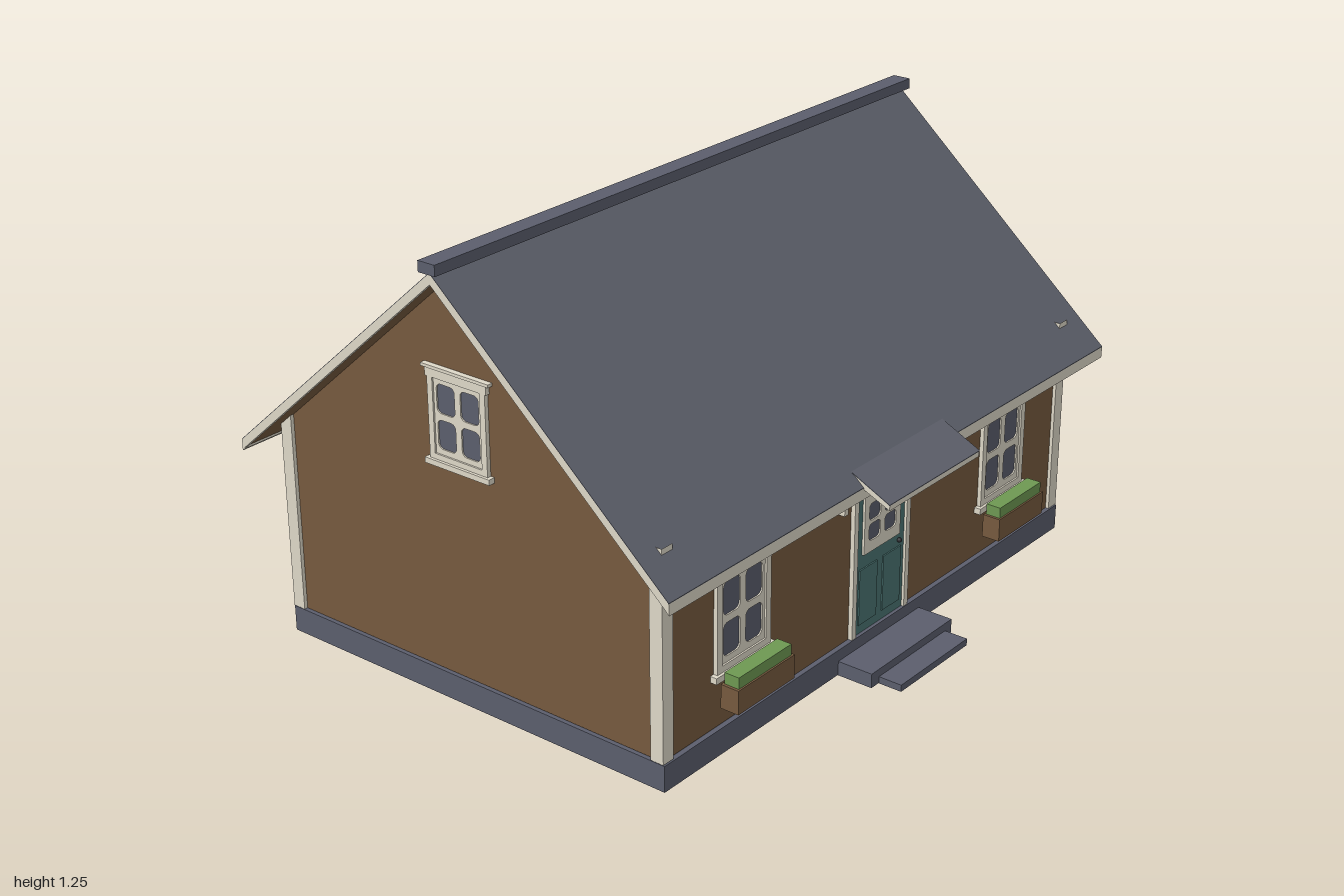
import * as THREE from 'three';

const mat = (name, color) => Object.assign(new THREE.MeshStandardMaterial({ color }), { name });

export function createModel() {
  const slate = mat('slate', 0x5b5e6d);
  slate.side = THREE.DoubleSide;
  const roofing = mat('roofing', 0x5e616c);
  const brown = mat('brownBoards', 0x765a3f);
  const cream = mat('creamTrim', 0xded8c8);
  const teal = mat('tealDoor', 0x4a7371);
  const green = mat('greenPlants', 0x6e9852);
  const dark = mat('darkMetal', 0x2c2c30);

  const house = new THREE.Group();
  house.name = 'house';

  const add = (parent, name, geometry, material) => {
    const mesh = new THREE.Mesh(geometry, material);
    mesh.name = name;
    parent.add(mesh);
    return mesh;
  };
  // Box given by its limits on each axis
  const box = (parent, name, material, x0, x1, y0, y1, z0, z1) => {
    const g = new THREE.BoxGeometry(x1 - x0, y1 - y0, z1 - z0);
    g.translate((x0 + x1) / 2, (y0 + y1) / 2, (z0 + z1) / 2);
    return add(parent, name, g, material);
  };
  // Leave one face of a box open: 2 is the top, 3 the bottom
  const openFace = (mesh, face) => {
    const g = mesh.geometry;
    const kept = Array.from(g.index.array).filter((v, i) => Math.floor(i / 6) !== face);
    g.clearGroups();
    g.setIndex(kept);
  };
  // Side profile of [z, y] points, run along x
  const prism = (parent, name, material, points, x0, x1) => {
    const shape = new THREE.Shape(points.map(([z, y]) => new THREE.Vector2(-z, y)));
    const g = new THREE.ExtrudeGeometry(shape, { depth: x1 - x0, bevelEnabled: false });
    g.rotateY(Math.PI / 2).translate(x0, 0, 0);
    return add(parent, name, g, material);
  };
  const roundedHole = (cx, cy, w, h, r) => {
    const p = new THREE.Path();
    const x = w / 2 - r, y = h / 2 - r;
    p.absarc(cx + x, cy + y, r, 0, Math.PI / 2);
    p.absarc(cx - x, cy + y, r, Math.PI / 2, Math.PI);
    p.absarc(cx - x, cy - y, r, Math.PI, Math.PI * 1.5);
    p.absarc(cx + x, cy - y, r, Math.PI * 1.5, Math.PI * 2);
    p.closePath();
    return p;
  };
  // Four-light sash over a glass plate, its back on z = 0
  const sash = (parent, w, h, paneW, paneH, gapX, gapY) => {
    box(parent, 'glass', slate, -w / 2 + 0.005, w / 2 - 0.005, -h / 2 + 0.005, h / 2 - 0.005, 0, 0.003);
    const s = new THREE.Shape([[-1, -1], [1, -1], [1, 1], [-1, 1]]
      .map(([x, y]) => new THREE.Vector2(x * w / 2, y * h / 2)));
    for (const i of [-1, 1]) for (const j of [-1, 1]) {
      s.holes.push(roundedHole(i * (paneW + gapX) / 2, j * (paneH + gapY) / 2, paneW, paneH, paneW * 0.25));
    }
    const g = new THREE.ExtrudeGeometry(s, { depth: 0.007, bevelEnabled: false, curveSegments: 5 });
    add(parent, 'sash', g, cream);
  };

  // Hollow foundation, open below, and the walls
  const ridgeZ = -0.052, base = 0.077;
  const zFront = 0.603, zBack = -0.707;
  openFace(box(house, 'foundation', slate, -0.918, 0.918, 0, 0.075, zBack, zFront), 3);
  const wallF = 0.59, wallB = -0.699, wallX = 0.908;
  prism(house, 'walls', brown,
    [[wallF, base], [wallF, 0.635], [ridgeZ, 1.198], [wallB, 0.632], [wallB, base]], -wallX, wallX);

  // Corner posts, whose open tips pass through the roof
  for (const sx of [-1, 1]) for (const z of [0.58, -0.687]) {
    const x = sx * 0.899;
    openFace(box(house, 'cornerPost', cream, x - 0.02, x + 0.02, base, 0.668, z - 0.02, z + 0.02), 2);
  }

  // Roof: thin grey skin, brown soffit and cream edge boards on both slopes
  const slope = 0.88, reach = 0.732, top = 1.226;
  const band = (sz, d0, d1, a, b) => [[d0, a], [d1, a], [d1, b], [d0, b]]
    .map(([d, off]) => [ridgeZ + sz * d, top - slope * d - off]);
  for (const sz of [-1, 1]) {
    prism(house, 'roofSlope', roofing, band(sz, 0, reach, 0, 0.002), -0.991, 0.991);
    prism(house, 'soffit', brown, band(sz, 0, reach - 0.008, 0.002, 0.028), -0.979, 0.979);
    prism(house, 'eaveBoard', cream, band(sz, reach - 0.008, reach, 0.002, 0.034), -0.99, 0.99);
    for (const sx of [-1, 1]) {
      const x = sx * 0.985;
      prism(house, 'bargeBoard', cream, band(sz, 0, reach, 0.002, 0.031), x - 0.006, x + 0.006);
    }
  }
  box(house, 'ridgeCap', slate, -1, 1, 1.224, 1.254, ridgeZ - 0.028, ridgeZ + 0.028);

  // Windows
  const addWindow = (x, y, z, turn, sx = 1, sy = 1) => {
    const w = new THREE.Group();
    w.name = 'window';
    sash(w, 0.186, 0.25, 0.068, 0.094, 0.022, 0.021);
    for (const s of [-1, 1]) {
      box(w, 'sideCasing', cream, s * 0.099 - 0.01, s * 0.099 + 0.01, -0.14, 0.14, 0, 0.012);
    }
    box(w, 'topCasing', cream, -0.115, 0.115, 0.122, 0.15, 0, 0.013);
    box(w, 'bottomCasing', cream, -0.109, 0.109, -0.14, -0.122, 0, 0.012);
    box(w, 'cornice', cream, -0.127, 0.127, 0.15, 0.16, 0, 0.016);
    box(w, 'sill', cream, -0.122, 0.122, -0.158, -0.14, 0, 0.02);
    w.position.set(x, y, z);
    w.rotation.y = turn;
    w.scale.set(sx, sy, 1);
    house.add(w);
  };
  for (const x of [-0.6, 0.6]) addWindow(x, 0.373, wallF, 0);
  for (const x of [-0.6, 0, 0.6]) addWindow(x, 0.373, wallB, Math.PI);
  for (const s of [-1, 1]) addWindow(s * wallX, 0.807, ridgeZ, s * Math.PI / 2, 0.9, 0.85);

  // Flower boxes under the front windows
  for (const x of [-0.6, 0.597]) {
    box(house, 'flowerBox', brown, x - 0.116, x + 0.116, 0.15, 0.218, 0.618, 0.673);
    box(house, 'plants', green, x - 0.108, x + 0.108, 0.218, 0.25, 0.623, 0.668);
  }

  // Door with casing, small window, raised panels and knob
  const door = new THREE.Group();
  door.name = 'door';
  door.position.set(0, 0, wallF);
  house.add(door);
  box(door, 'doorLeaf', teal, -0.115, 0.115, base, 0.512, 0, 0.005);
  for (const s of [-1, 1]) {
    box(door, 'doorCasing', cream, s * 0.122 - 0.009, s * 0.122 + 0.009, base, 0.535, 0, 0.013);
    box(door, 'doorPanel', teal, s * 0.055 - 0.041, s * 0.055 + 0.041, 0.105, 0.27, 0.005, 0.009);
  }
  box(door, 'doorLintel', cream, -0.131, 0.131, 0.512, 0.537, 0, 0.013);
  const doorLight = new THREE.Group();
  doorLight.name = 'doorWindow';
  doorLight.position.set(0, 0.4, 0.005);
  sash(doorLight, 0.168, 0.176, 0.053, 0.05, 0.02, 0.01);
  door.add(doorLight);
  add(door, 'doorKnob', new THREE.SphereGeometry(0.007, 12, 8).translate(0.086, 0.29, 0.01), dark);

  // Sloping porch canopy on two brackets
  prism(house, 'canopyTop', roofing, [[0.6, 0.636], [0.762, 0.558], [0.762, 0.556], [0.6, 0.634]], -0.21, 0.21);
  prism(house, 'canopyFrame', cream, [[0.6, 0.634], [0.761, 0.556], [0.761, 0.541], [0.6, 0.612]], -0.208, 0.208);
  for (const s of [-1, 1]) {
    const x = s * 0.181;
    box(house, 'canopyBracket', cream, x - 0.008, x + 0.008, 0.47, 0.615, wallF, 0.61);
  }

  // Entrance steps, open below
  openFace(box(house, 'upperStep', slate, -0.193, 0.188, 0, 0.042, zFront + 0.001, 0.712), 3);
  openFace(box(house, 'lowerStep', slate, -0.16, 0.156, 0, 0.02, 0.713, 0.784), 3);

  return house;
}
